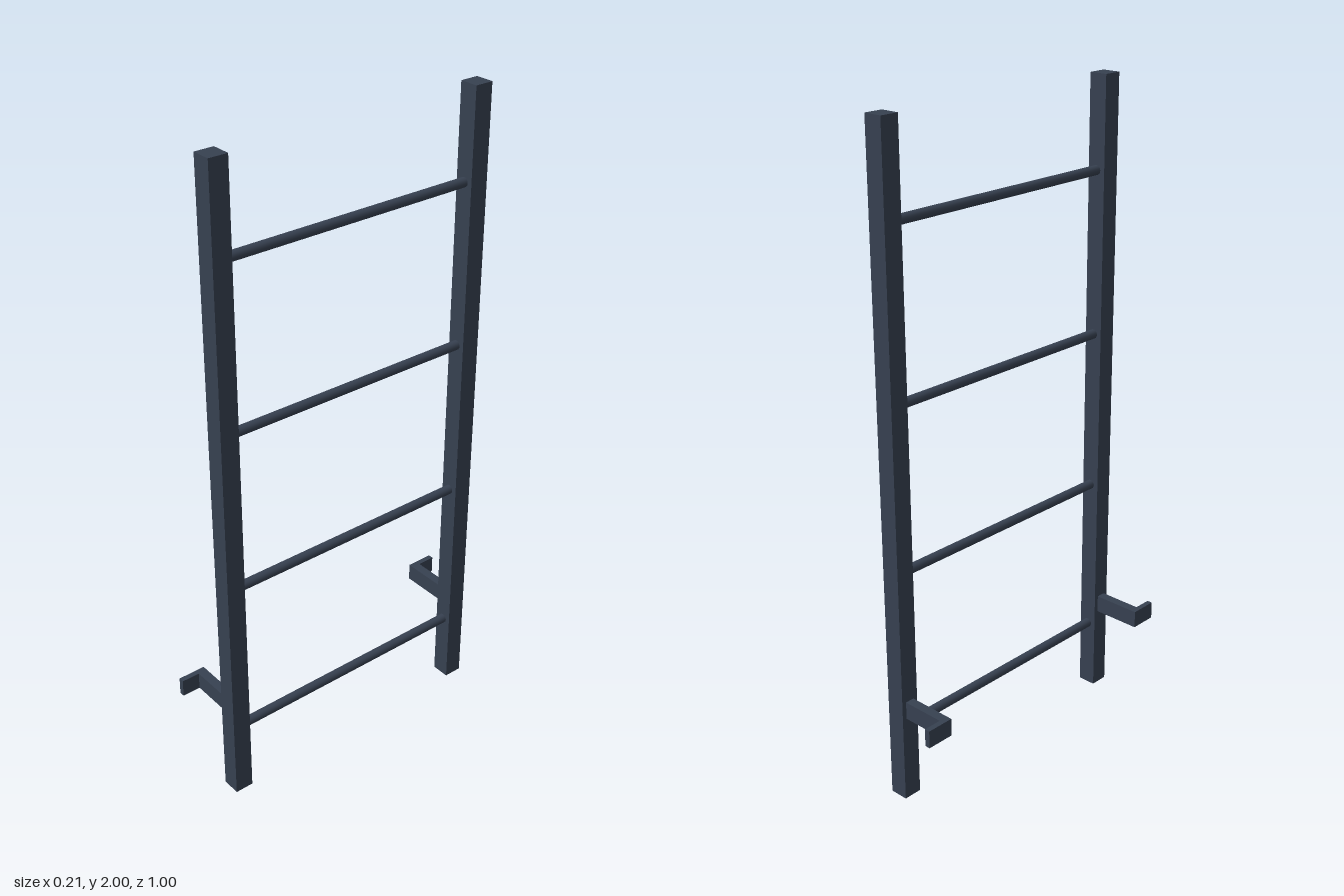
import * as THREE from 'three';

const material = new THREE.MeshStandardMaterial({ color: 0x374151 });

const RAIL_X = 0.077, RAIL_Z = 0.428, RAIL = 0.058;

function addMesh(parent, name, geometry, x, y, z) {
  const mesh = new THREE.Mesh(geometry, material);
  mesh.name = name;
  mesh.position.set(x, y, z);
  parent.add(mesh);
  return mesh;
}

export function createModel() {
  const model = new THREE.Group();
  model.name = 'ladder';

  // One square rail and one L-shaped wall bracket on each side
  for (const [label, s] of [['front', 1], ['back', -1]]) {
    addMesh(model, label + 'Rail', new THREE.BoxGeometry(RAIL, 2, RAIL), RAIL_X, 1, s * RAIL_Z);

    const bracket = new THREE.Group();
    bracket.name = label + 'Bracket';
    bracket.position.y = 0.298;
    model.add(bracket);
    addMesh(bracket, 'bracketArm', new THREE.BoxGeometry(0.156, 0.055, 0.029), -0.029, 0, s * RAIL_Z);
    addMesh(bracket, 'bracketFoot', new THREE.BoxGeometry(0.017, 0.055, 0.058), -0.0985, 0, s * 0.471);
  }

  // Four round rungs, evenly spaced
  const rung = new THREE.CylinderGeometry(0.0145, 0.0145, 2 * RAIL_Z - RAIL, 16).rotateX(Math.PI / 2);
  for (let i = 0; i < 4; i++) addMesh(model, 'rung' + (i + 1), rung, RAIL_X, 0.224 + i * 0.5, 0);

  return model;
}
